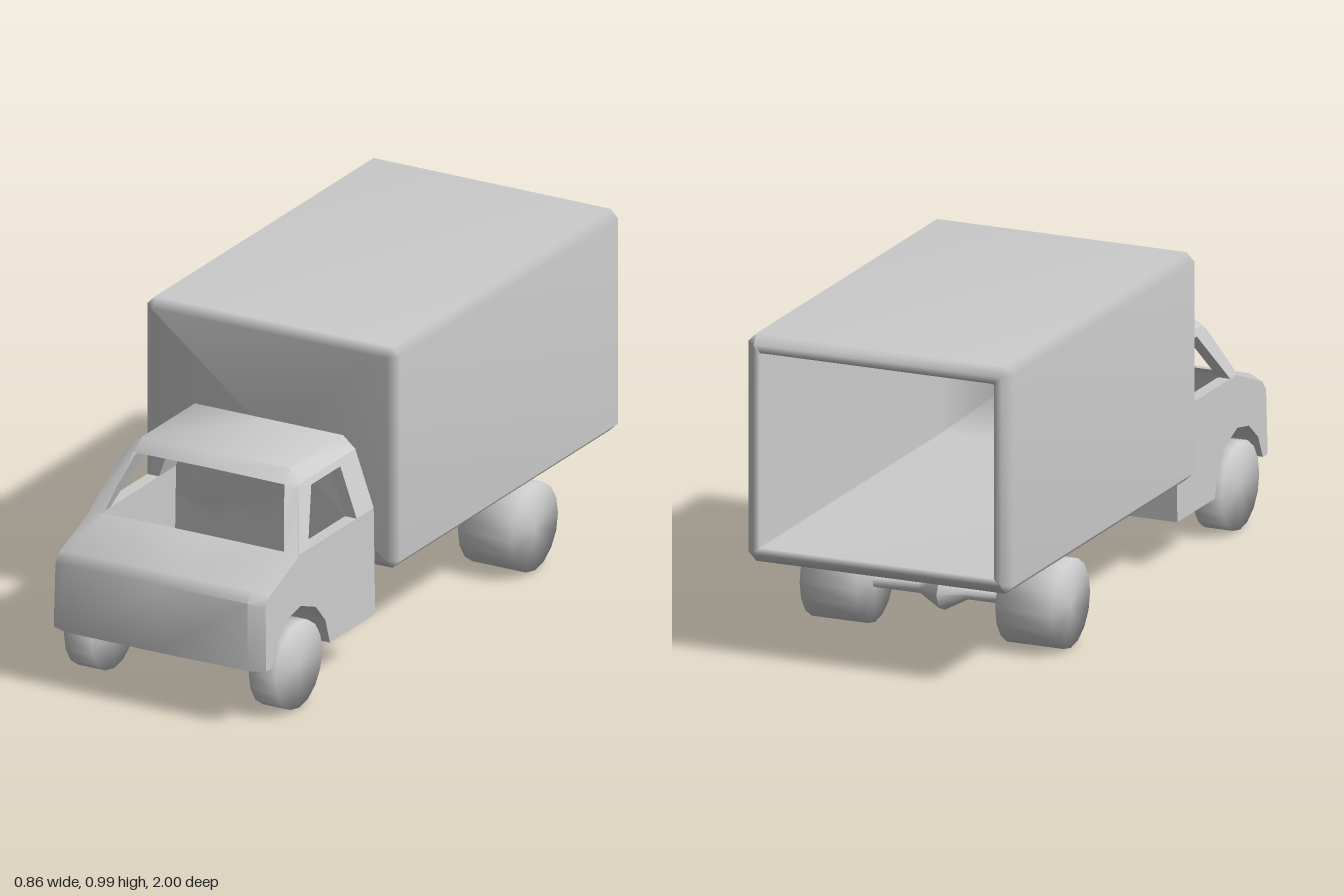
import * as THREE from 'three';
import { mergeVertices, toCreasedNormals } from 'three/addons/utils/BufferGeometryUtils.js';

const grey = new THREE.MeshStandardMaterial({ color: 0xcccccc });
const greyDouble = new THREE.MeshStandardMaterial({ color: 0xcccccc, side: THREE.DoubleSide });

function part(name, geometry, material = grey) {
  const mesh = new THREE.Mesh(geometry, material);
  mesh.name = name;
  return mesh;
}

// Surface through rows of [x, y, z] points; skip(i, j) leaves a quad open
function loft(rows, closed, skip = () => false) {
  const n = rows[0].length, index = [];
  for (let i = 0; i < rows.length - 1; i++) {
    for (let j = 0; j < (closed ? n : n - 1); j++) {
      if (skip(i, j)) continue;
      const a = i * n + j, b = i * n + (j + 1) % n;
      index.push(a, a + n, b, b, a + n, b + n);
    }
  }
  const g = new THREE.BufferGeometry();
  g.setAttribute('position', new THREE.Float32BufferAttribute(rows.flat(2), 3));
  g.setIndex(index);
  g.computeVertexNormals();
  return g;
}

// Half width of the cab at a given height
function halfWidth(y) {
  return y < 0.48 ? 0.362 - (y - 0.14) * 0.015 : 0.357 - (y - 0.48) * 0.36;
}

// Cargo box: chamfered rectangles from the closed front, round the rear lip and back inside
function cargoBox() {
  const ring = (z, inset, c) => {
    const w = 0.43 - inset, h = 0.35 - inset;
    return [[w, c - h], [w, h - c], [w - c, h], [c - w, h], [-w, h - c], [-w, c - h], [c - w, -h], [w - c, -h]]
      .map(([x, y]) => [x, 0.64 + y, z]);
  };
  const centre = z => Array.from({ length: 8 }, () => [0, 0.64, z]);
  return loft([
    centre(0.335),
    ring(0.335, 0.028, 0.004), ring(0.307, 0, 0.026),
    ring(-0.972, 0, 0.026), ring(-1, 0.028, 0.004),
    ring(-1, 0.05, 0.004), ring(0.29, 0.05, 0.004),
    centre(0.29),
  ], true);
}

// Wheel arch as [z, y], front to rear
const arch = [[0.94, 0.18], [0.91, 0.25], [0.845, 0.302], [0.765, 0.317], [0.68, 0.285], [0.625, 0.225], [0.6, 0.145]];

// Cab skin: outline at the cab's side as [z, y, crown z, crown y], spread across the width
function cabSkin() {
  const outline = [
    [0.335, 0.655, 0, 0.035], [0.645, 0.655, 0, 0.035], [0.675, 0.64, 0.015, 0.018],
    [0.775, 0.475, 0, 0.008],
    [0.945, 0.41, 0.025, 0.015], [0.97, 0.38, 0.025, 0.012], [0.975, 0.18, 0.025, 0],
    ...arch.map(([z, y]) => [z, y, 0, 0]),
    [0.335, 0.145, 0, 0], [0.335, 0.48, 0, 0], [0.335, 0.655, 0, 0.035],
  ];
  const columns = [-1, -0.86, 0, 0.86, 1];
  const rows = outline.map(([z, y, dz, dy]) => columns.map(u => {
    const k = Math.abs(u) === 1 ? 0 : u === 0 ? 1 : 0.85;
    const lift = dy > 0.03 ? (k ? dy : 0) : dy * k;
    return [u * halfWidth(y), y + lift, z + dz * k];
  }));
  // The windscreen lies between the third and fourth rows
  return toCreasedNormals(loft(rows, false, (i, j) => i === 2 && (j === 1 || j === 2)), 0.75);
}

// Side panel of the cab, leaning inwards with height; side is 1 or -1
function cabSide(points, side) {
  const t = 0.04;
  const shape = new THREE.Shape(points.map(([z, y]) => new THREE.Vector2(z, y)));
  const g = new THREE.ExtrudeGeometry(shape, { depth: t, bevelEnabled: false });
  const p = g.attributes.position;
  for (let i = 0; i < p.count; i++) {
    const z = p.getX(i), y = p.getY(i), d = p.getZ(i);
    p.setXYZ(i, side * (halfWidth(y) - t + d), y, z);
  }
  return toCreasedNormals(g, 0.6);
}

function wheel(width) {
  const g = new THREE.CylinderGeometry(0.136, 0.136, width, 16);
  g.deleteAttribute('uv');
  g.deleteAttribute('normal');
  const smooth = mergeVertices(g);
  smooth.computeVertexNormals();
  return smooth.rotateZ(Math.PI / 2);
}

export function createModel() {
  const truck = new THREE.Group();
  truck.name = 'boxTruck';
  truck.add(part('cargoBox', cargoBox()));

  // Cab with open windows
  const cab = new THREE.Group();
  cab.name = 'cab';
  cab.add(part('cabSkin', cabSkin(), greyDouble));
  const door = [
    [0.335, 0.145], [0.335, 0.48], [0.435, 0.48], [0.72, 0.48], [0.772, 0.48], [0.775, 0.475],
    [0.945, 0.41], [0.97, 0.38], [0.975, 0.18], ...arch,
  ];
  const windowFrame = [
    [0.335, 0.48], [0.435, 0.48], [0.435, 0.635], [0.605, 0.635], [0.72, 0.48], [0.772, 0.48],
    [0.675, 0.64], [0.645, 0.655], [0.335, 0.655],
  ];
  for (const [label, side] of [['left', 1], ['right', -1]]) {
    cab.add(part(label + 'Door', cabSide(door, side), greyDouble));
    cab.add(part(label + 'WindowFrame', cabSide(windowFrame, side), greyDouble));
  }
  truck.add(cab);

  // Narrow front wheels and wide rear wheels
  for (const [label, width, x, z] of [['front', 0.092, 0.315, 0.78], ['rear', 0.183, 0.317, -0.52]]) {
    const geometry = wheel(width);
    for (const [sideName, side] of [['Left', 1], ['Right', -1]]) {
      const w = part(label + sideName + 'Wheel', geometry);
      w.position.set(side * x, 0.136, z);
      truck.add(w);
    }
  }

  // Rear axle with its differential swelling
  const profile = [[0.018, -0.23], [0.018, -0.075], [0.06, 0], [0.018, 0.075], [0.018, 0.23]]
    .map(([r, h]) => new THREE.Vector2(r, h));
  const axle = part('rearAxle', toCreasedNormals(new THREE.LatheGeometry(profile, 8).rotateZ(Math.PI / 2), 0.85));
  axle.position.set(0, 0.125, -0.52);
  truck.add(axle);

  return truck;
}
